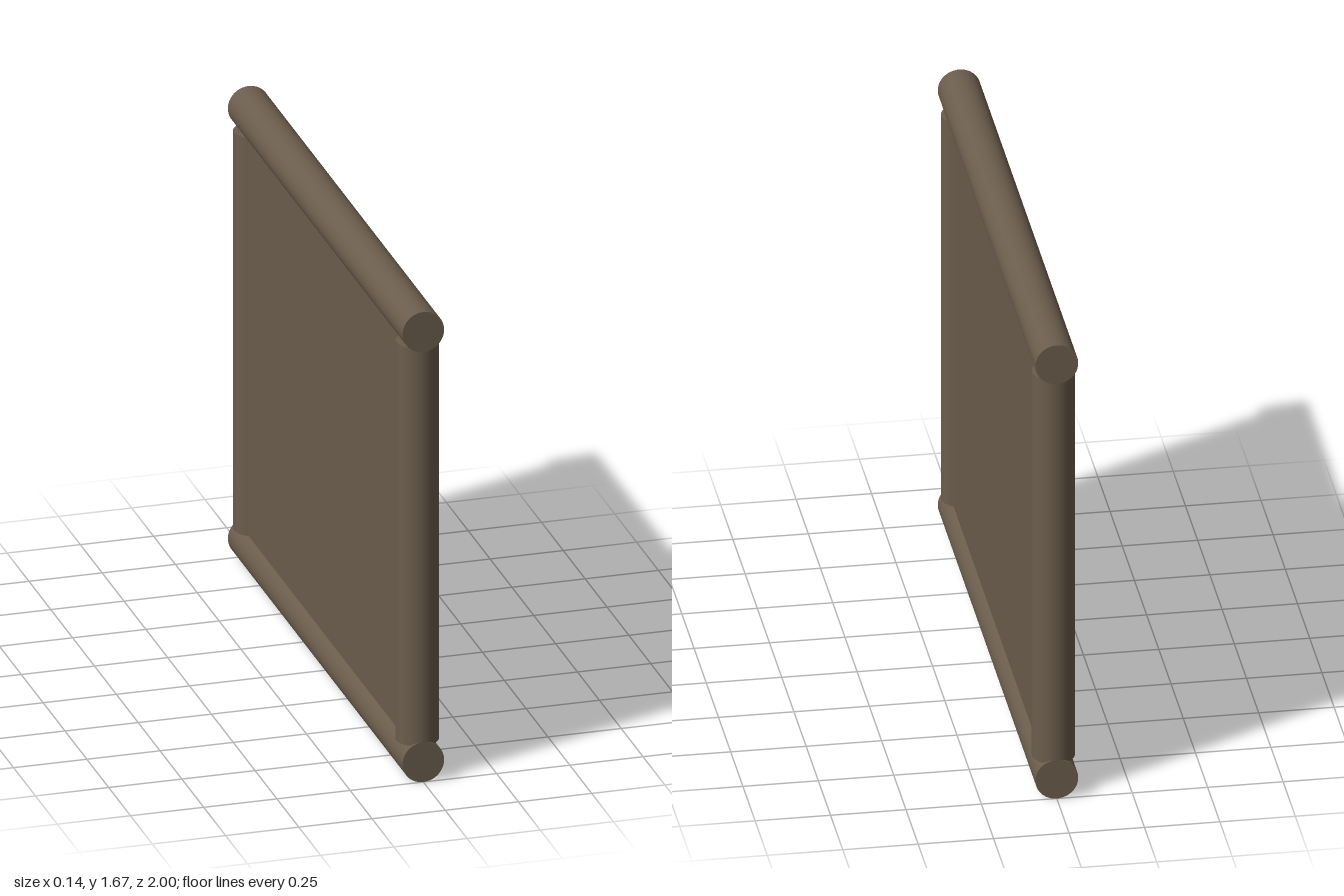
import * as THREE from 'three';

const R = 0.071;       // log radius
const HEIGHT = 1.667;  // overall height
const LENGTH = 2;      // overall length along z

export function createModel() {
  const model = new THREE.Group();
  model.name = 'framedWallPanel';

  const wood = new THREE.MeshStandardMaterial({ color: 0x6b5d4c });
  wood.name = 'brown wood';

  const add = (name, geometry, x, y, z) => {
    const mesh = new THREE.Mesh(geometry, wood);
    mesh.name = name;
    mesh.position.set(x, y, z);
    model.add(mesh);
  };

  // Horizontal logs, full length
  const rail = new THREE.CylinderGeometry(R, R, LENGTH, 48).rotateX(Math.PI / 2);
  add('bottomRail', rail, 0, R, 0);
  add('topRail', rail, 0, HEIGHT - R, 0);

  // Upright logs, ends sunk slightly into the rails
  const post = new THREE.CylinderGeometry(R, R, 1.412, 48);
  add('frontPost', post, 0, HEIGHT / 2, LENGTH / 2 - R);
  add('backPost', post, 0, HEIGHT / 2, -LENGTH / 2 + R);

  // Flat infill between the logs
  const panel = new THREE.BoxGeometry(0.08, HEIGHT - 2 * R, LENGTH - 2 * R);
  add('infillPanel', panel, 0, HEIGHT / 2, 0);

  return model;
}
